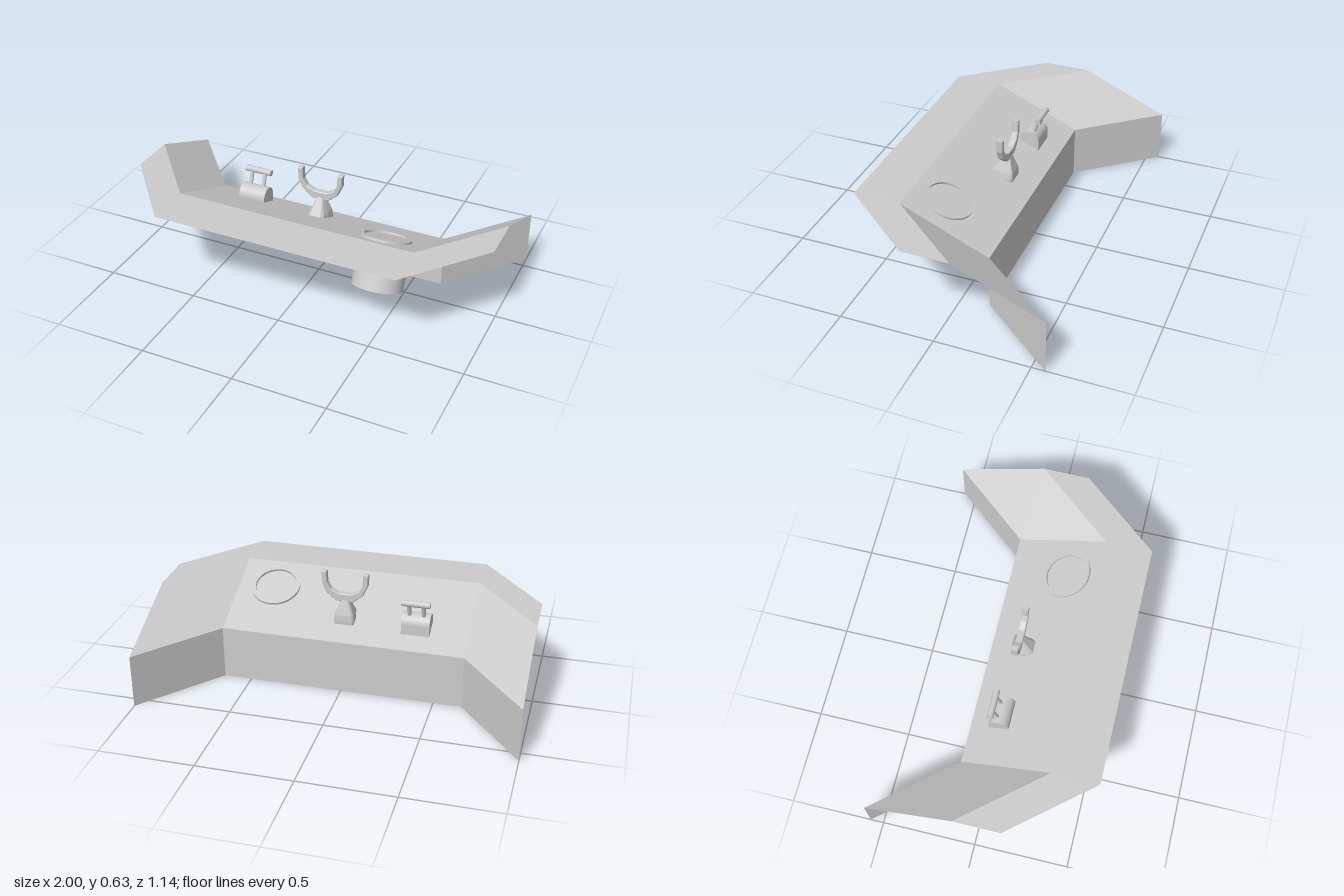
import * as THREE from 'three';

const grey = new THREE.MeshStandardMaterial({ color: 0xcccccc });
const sheetGrey = new THREE.MeshStandardMaterial({ color: 0xcccccc, side: THREE.DoubleSide, flatShading: true });
const flatGrey = new THREE.MeshStandardMaterial({ color: 0xcccccc, flatShading: true });

function part(name, geometry, material = grey) {
  const mesh = new THREE.Mesh(geometry, material);
  mesh.name = name;
  return mesh;
}

// Flat strip between two profile points [z, y], swept along the bent plan line
function strip(name, a, b) {
  const plan = [[-1, -0.42], [-0.65, 0], [0.65, 0], [1, -0.42]];
  const pos = [];
  for (let i = 0; i < plan.length - 1; i++) {
    const at = ([x, dz], [z, y]) => [x, y, z + dz];
    const p = at(plan[i], a), q = at(plan[i + 1], a), r = at(plan[i + 1], b), s = at(plan[i], b);
    pos.push(...p, ...r, ...q, ...p, ...s, ...r);
  }
  const g = new THREE.BufferGeometry();
  g.setAttribute('position', new THREE.Float32BufferAttribute(pos, 3));
  g.computeVertexNormals();
  return part(name, g, sheetGrey);
}

// Closed solid through rings of equal point count, listed bottom to top
function loft(rings) {
  const n = rings[0].length, pos = rings.flat(2), idx = [];
  for (let k = 0; k < rings.length - 1; k++) {
    for (let i = 0; i < n; i++) {
      const a = k * n + i, b = k * n + (i + 1) % n;
      idx.push(a, b, b + n, a, b + n, a + n);
    }
  }
  const top = (rings.length - 1) * n;
  for (let i = 1; i < n - 1; i++) idx.push(0, i + 1, i, top, top + i, top + i + 1);
  const g = new THREE.BufferGeometry();
  g.setAttribute('position', new THREE.Float32BufferAttribute(pos, 3));
  g.setIndex(idx);
  const flat = g.toNonIndexed();
  flat.computeVertexNormals();
  return flat;
}

function rodBetween(name, a, b, radius) {
  const from = new THREE.Vector3(...a), to = new THREE.Vector3(...b);
  const dir = to.clone().sub(from);
  const rod = part(name, new THREE.CylinderGeometry(radius, radius, dir.length(), 20));
  rod.position.copy(from).add(to).multiplyScalar(0.5);
  rod.quaternion.setFromUnitVectors(new THREE.Vector3(0, 1, 0), dir.normalize());
  return rod;
}

function makePanel() {
  const g = new THREE.Group();
  g.name = 'dashboard';
  g.add(
    strip('lowerWall', [-0.15, 0], [-0.15, 0.29]),
    strip('slopedPanel', [-0.15, 0.29], [0.32, 0.495]),
    strip('topShelf', [0.32, 0.495], [0.57, 0.495]),
  );
  return g;
}

// Round cup set square to the sloped panel, rim standing just proud of it
function makeCup() {
  const profile = [[0, -0.255], [0.134, -0.255], [0.134, 0.012], [0.112, 0.012], [0.112, -0.235], [0, -0.235]];
  const pos = [];
  // each straight run gets its own lathe so the edges stay sharp
  const g = new THREE.Group();
  g.name = 'cupHolder';
  const names = ['cupBottom', 'cupWall', 'cupRim', 'cupInnerWall', 'cupFloor'];
  names.forEach((name, i) => {
    const run = [profile[i], profile[i + 1]].map(([r, y]) => new THREE.Vector2(r, y));
    g.add(part(name, new THREE.LatheGeometry(run, 48)));
  });
  g.position.set(0.443, 0.423, 0.155);
  g.rotation.x = -Math.atan2(0.205, 0.47);
  return g;
}

// Steering post with chamfered front corners, tapering to the yoke
function makeSteering() {
  const g = new THREE.Group();
  g.name = 'steering';
  const ring = (y, w, back, front) => {
    const side = front - (front - back) * 0.5;
    const near = front - (front - back) * 0.12;
    return [
      [-w * 0.85, y, back], [-w, y, back + 0.01], [-w, y, side], [-w * 0.85, y, near], [-w * 0.6, y, front],
      [w * 0.6, y, front], [w * 0.85, y, near], [w, y, side], [w, y, back + 0.01], [w * 0.85, y, back],
    ];
  };
  g.add(part('steeringPost', loft([
    ring(0.21, 0.056, -0.03, 0.103),
    ring(0.36, 0.055, -0.04, 0.083),
    ring(0.39, 0.05, -0.038, 0.078),
    ring(0.475, 0.02, -0.014, 0.022),
  ]), flatGrey));

  // U-shaped yoke
  const outer = [[-0.122, 0.622], [-0.119, 0.56], [-0.095, 0.508], [-0.045, 0.466]];
  const inner = [[-0.103, 0.622], [-0.099, 0.56], [-0.079, 0.524], [-0.035, 0.502]];
  const mirror = (pts) => pts.map(([x, y]) => [-x, y]).reverse();
  const outline = [...outer, ...mirror(outer), ...inner.map(([x, y]) => [-x, y]), ...mirror(inner).map(([x, y]) => [-x, y])];
  const shape = new THREE.Shape(outline.map(([x, y]) => new THREE.Vector2(x, y)));
  const yoke = new THREE.ExtrudeGeometry(shape, {
    depth: 0.026, bevelEnabled: true, bevelThickness: 0.005, bevelSize: 0.004, bevelSegments: 1,
  });
  yoke.translate(0, 0, -0.01);
  g.add(part('steeringYoke', yoke, flatGrey));
  g.position.x = 0.013;
  return g;
}

// Throttle: round-topped block with a crossbar on two leaning stems
function makeThrottle() {
  const g = new THREE.Group();
  g.name = 'throttle';
  const s = new THREE.Shape();
  s.moveTo(-0.053, 0.325);
  s.lineTo(0.053, 0.325);
  s.lineTo(0.053, 0.385);
  s.absarc(0, 0.385, 0.053, 0, Math.PI, false);
  s.closePath();
  const base = new THREE.ExtrudeGeometry(s, { depth: 0.15, bevelEnabled: false, curveSegments: 20 });
  base.translate(0, 0, -0.075);
  base.rotateY(Math.PI / 2);
  g.add(part('throttleBase', base));
  for (const x of [-0.038, 0.038]) {
    g.add(rodBetween('throttleStem', [x, 0.41, -0.008], [x, 0.51, -0.042], 0.011));
  }
  g.add(rodBetween('throttleBar', [-0.075, 0.51, -0.043], [0.075, 0.51, -0.043], 0.017));
  g.position.x = -0.374;
  return g;
}

export function createModel() {
  const model = new THREE.Group();
  model.name = 'controlConsole';
  model.add(makePanel(), makeCup(), makeSteering(), makeThrottle());
  return model;
}
